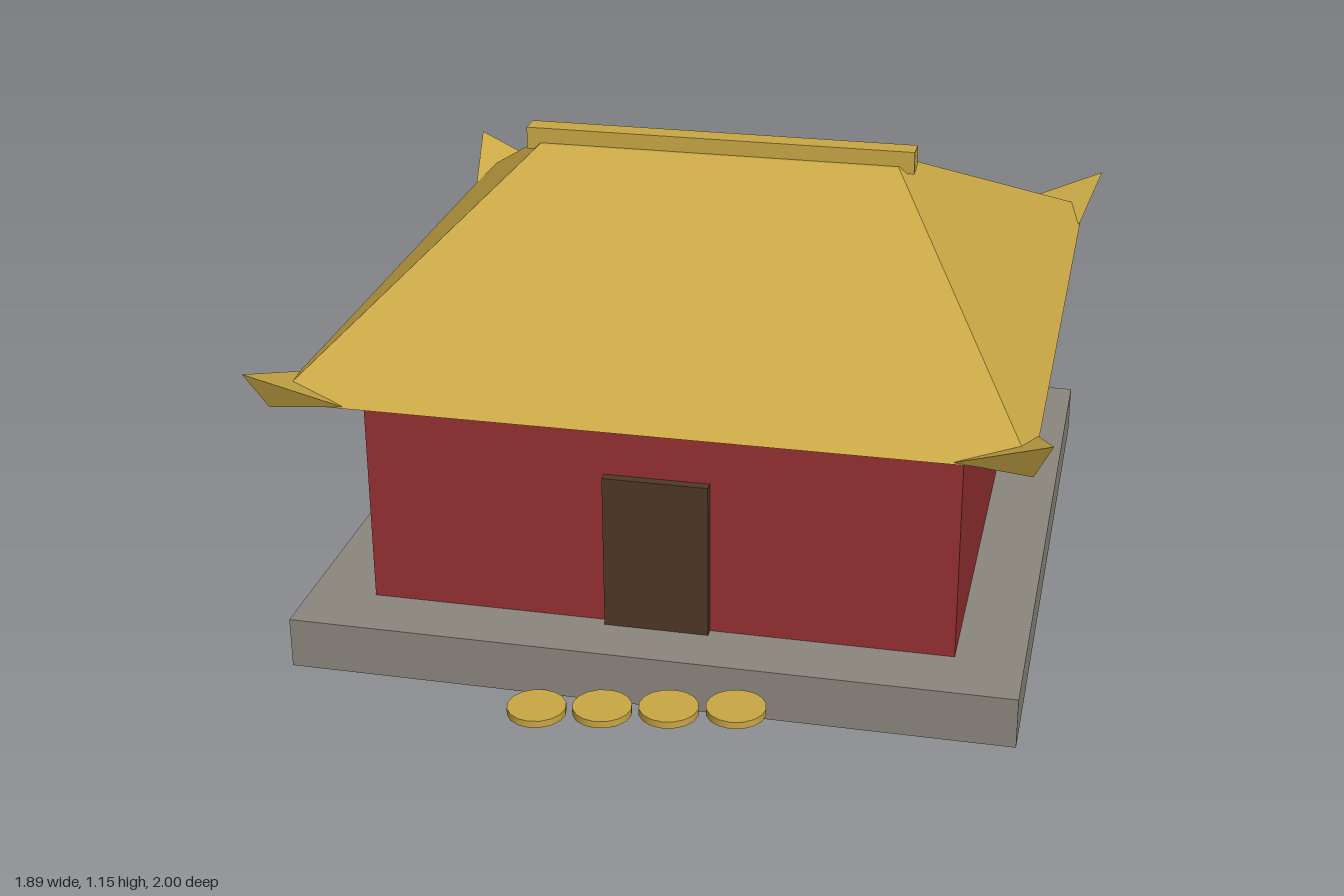
import * as THREE from 'three';
import { ConvexGeometry } from 'three/addons/geometries/ConvexGeometry.js';

const material = (name, color) => {
  const m = new THREE.MeshStandardMaterial({ color });
  m.name = name;
  return m;
};

export function createModel() {
  const gold = material('gold', 0xc9a845);
  const red = material('red', 0x953032);
  const stone = material('stone', 0x8c867e);
  const wood = material('dark wood', 0x4e3926);

  const model = new THREE.Group();
  model.name = 'hall';
  const add = (parent, name, geometry, mat, x = 0, y = 0, z = 0) => {
    const mesh = new THREE.Mesh(geometry, mat);
    mesh.name = name;
    mesh.position.set(x, y, z);
    parent.add(mesh);
    return mesh;
  };
  const box = (w, h, d) => new THREE.BoxGeometry(w, h, d);

  // The building sits slightly behind the centre, leaving room for the coins
  const building = new THREE.Group();
  building.name = 'building';
  building.position.z = -0.053;
  model.add(building);

  add(building, 'plinth', box(1.795, 0.13, 1.795), stone, 0, 0.065);
  add(building, 'walls', box(1.46, 0.59, 1.47), red, 0, 0.425);
  add(building, 'door', box(0.26, 0.4, 0.04), wood, 0, 0.33, 0.739);

  // Hipped roof: a box whose top is narrowed to the ridge
  const roof = box(1.795, 0.395, 1.795);
  const p = roof.attributes.position;
  for (let i = 0; i < p.count; i++) {
    if (p.getY(i) > 0) {
      p.setX(i, Math.sign(p.getX(i)) * 0.47);
      p.setZ(i, Math.sign(p.getZ(i)) * 0.042);
    }
  }
  roof.computeVertexNormals();
  add(building, 'roof', roof, gold, 0, 0.9175);
  add(building, 'ridgeBeam', box(1.015, 0.058, 0.06), gold, 0, 1.126);

  // Upturned pointed eave at each corner
  for (const sx of [-1, 1]) {
    for (const sz of [-1, 1]) {
      const corners = [
        [0.943, 0.808, 0.945], // tip
        [0.9, 0.709, 0.902], // underside of the corner
        [0.72, 0.724, 0.896],
        [0.896, 0.724, 0.72],
      ].map(([x, y, z]) => new THREE.Vector3(sx * x, y, sz * z));
      add(building, 'eaveTip', new ConvexGeometry(corners), gold);
    }
  }

  // Four coins, each a little higher than the last
  const coins = new THREE.Group();
  coins.name = 'coins';
  model.add(coins);
  for (let i = 0; i < 4; i++) {
    const coin = new THREE.CylinderGeometry(0.072, 0.072, 0.018, 16);
    add(coins, 'coin', coin, gold, -0.244 + i * 0.163, 0.009 + i * 0.0205, 0.926);
  }
  return model;
}
